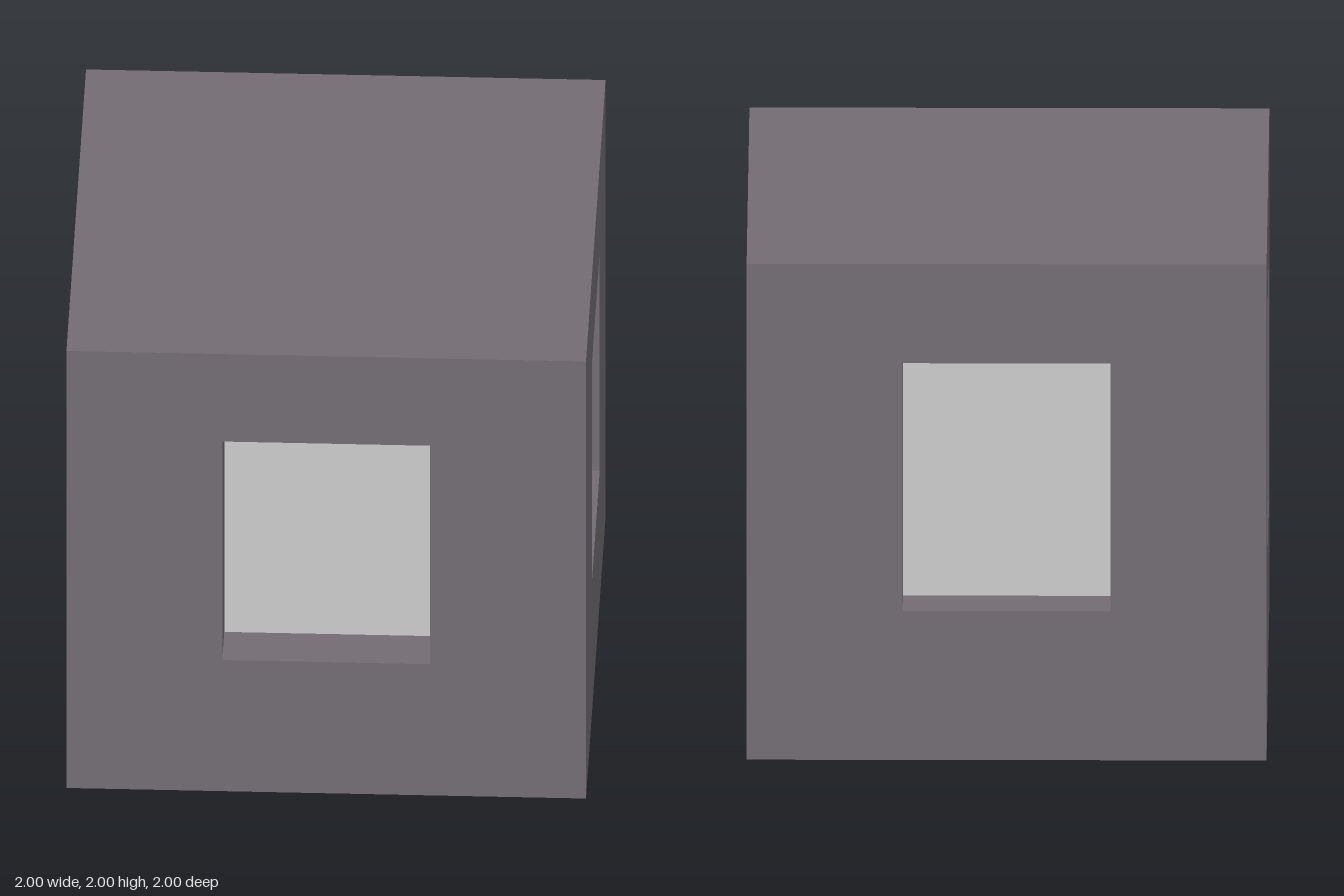
import * as THREE from 'three';
import { mergeGeometries } from 'three/addons/utils/BufferGeometryUtils.js';

const HALF = 1, DEPTH = 0.2;               // block half-size, window recess depth
const W = 0.8, H = 1.0, MID = 1.1;         // window width, height, centre height

// Flat rectangle facing +z, turned and then moved into place
function panel(w, h, rx, ry, x, y, z) {
  return new THREE.PlaneGeometry(w, h).rotateX(rx).rotateY(ry).translate(x, y, z);
}

// Front wall: face with a window hole and the four reveals of the recess
function wallGeometry() {
  const face = new THREE.Shape([[-1, 0], [1, 0], [1, 2], [-1, 2]].map(([x, y]) => new THREE.Vector2(x, y)));
  const x = W / 2, y0 = MID - H / 2, y1 = MID + H / 2, z = HALF - DEPTH / 2, q = Math.PI / 2;
  face.holes.push(new THREE.Path([[-x, y0], [-x, y1], [x, y1], [x, y0]].map(([a, b]) => new THREE.Vector2(a, b))));
  return mergeGeometries([
    new THREE.ShapeGeometry(face).translate(0, 0, HALF),
    panel(DEPTH, H, 0, q, -x, MID, z),
    panel(DEPTH, H, 0, -q, x, MID, z),
    panel(W, DEPTH, -q, 0, 0, y0, z),
    panel(W, DEPTH, q, 0, 0, y1, z),
  ]);
}

export function createModel() {
  const model = new THREE.Group();
  model.name = 'windowedBlock';
  const wallMaterial = new THREE.MeshStandardMaterial({ color: 0x736d73 });
  const paneMaterial = new THREE.MeshStandardMaterial({ color: 0xcccccc });
  const add = (name, geometry, material, turn = 0) => {
    const mesh = new THREE.Mesh(geometry, material);
    mesh.name = name;
    mesh.rotation.y = turn;
    model.add(mesh);
  };

  // Four identical walls with recessed panes
  const wall = wallGeometry();
  const pane = panel(W, H, 0, 0, 0, MID, HALF - DEPTH);
  ['front', 'left', 'back', 'right'].forEach((side, i) => {
    add(side + 'Wall', wall, wallMaterial, i * Math.PI / 2);
    add(side + 'Pane', pane, paneMaterial, i * Math.PI / 2);
  });

  // Roof and floor close the block
  add('roof', panel(2, 2, -Math.PI / 2, 0, 0, 2, 0), wallMaterial);
  add('floor', panel(2, 2, Math.PI / 2, 0, 0, 0, 0), wallMaterial);
  return model;
}
